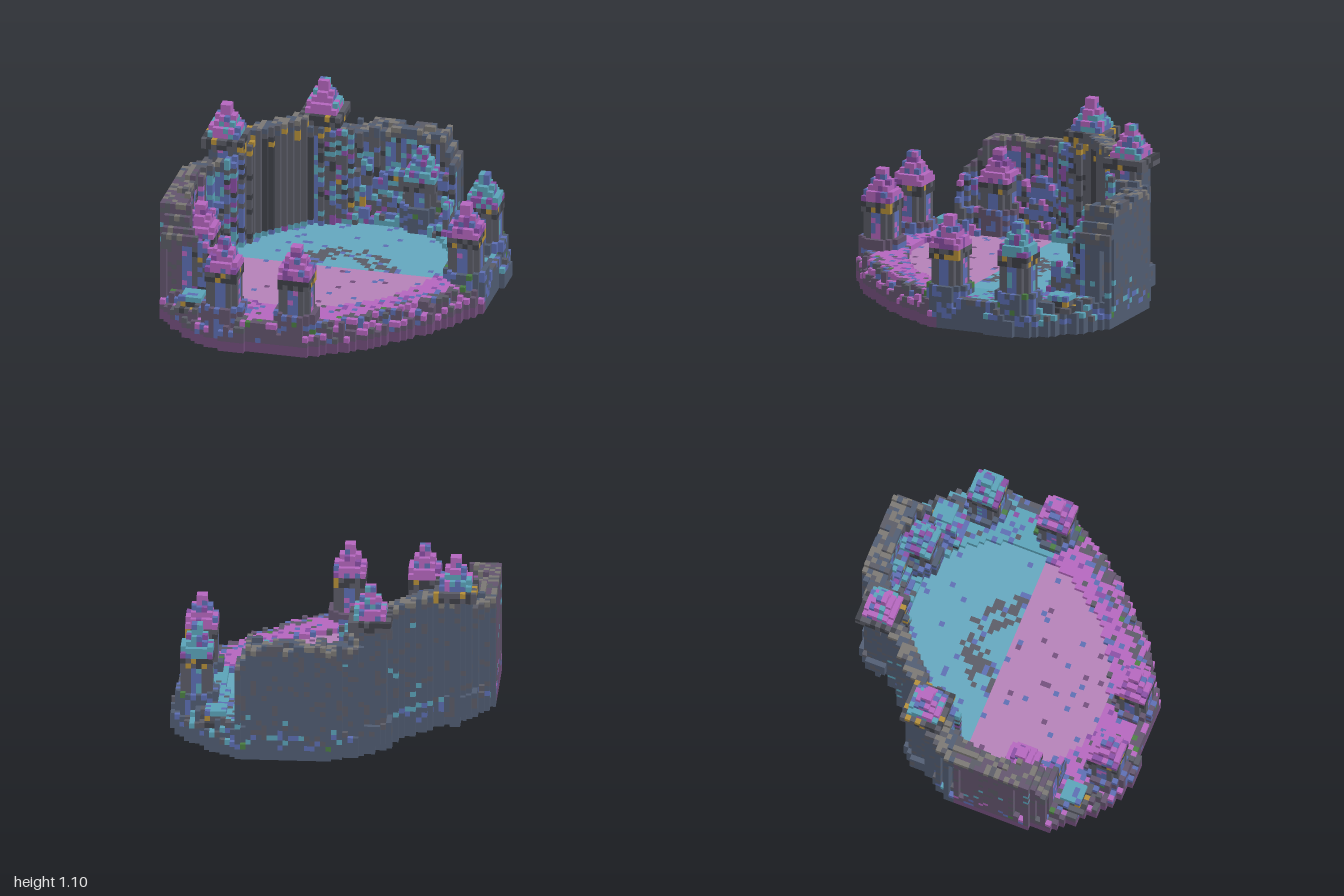
import * as THREE from 'three';

const N = 60, H = 36, S = 2 / N;
const COLORS = {
  stone: 0x5c5d68, slate: 0x525e74, mauve: 0x655670, pale: 0x7d7a76, dark: 0x40424a,
  blue: 0x5e70b6, teal: 0x5ca6bc, magenta: 0xb868c2, violet: 0x8c50a8,
  plum: 0x74507e, floorTeal: 0x66aac2, floorPink: 0xb884bc, gold: 0xb8923a, green: 0x4c8044,
};

// Repeatable noise in 0..1 for a cell
function hash(a, b, c = 0) {
  let h = (a * 374761393 + b * 668265263 + c * 974634533) | 0;
  h = Math.imul(h ^ (h >>> 13), 1274126177);
  return ((h ^ (h >>> 16)) >>> 0) / 4294967296;
}
const pick = (list, t) => list[Math.floor(t * list.length)];

// Block grid: each cell holds its part and colour
const makeGrid = () => ({
  cells: new Map(),
  key: (i, j, k) => (i * H + j) * N + k,
  inside: (i, j, k) => i >= 0 && j >= 0 && k >= 0 && i < N && j < H && k < N,
  set(i, j, k, part, color) {
    if (this.inside(i, j, k)) this.cells.set(this.key(i, j, k), { p: [i, j, k], part, color });
  },
  has(i, j, k) { return this.inside(i, j, k) && this.cells.has(this.key(i, j, k)); },
  column(i, k, j0, j1, part, colorAt) {
    for (let j = j0; j < j1; j++) this.set(i, j, k, part, colorAt(j));
  },
});

// Diagonal axes: u runs along the oval, v across it (negative at the gate).
// e is 1 on the outer edge, f is 1 on the edge of the floor.
function oval(i, k) {
  const x = (i - 29.5) / 30, z = (k - 29.5) / 30;
  const u = (x - z) / Math.SQRT2, v = (x + z) / Math.SQRT2;
  const e = Math.pow(Math.pow(Math.abs(u) / 1.13, 2.4) + Math.pow(Math.abs(v) / (v < 0 ? 0.83 : 0.81), 2.4), 1 / 2.4);
  const f = Math.hypot(u / 0.76, v / (v < 0 ? 0.64 : 0.57));
  return { x, z, u, v, e, f };
}

// Two-tone floor with speckles and a worn grey crescent
function floorColor(i, k, x, z) {
  const n = hash(i, k, 1);
  if (z < -0.03) {
    const d = Math.hypot(x - 0.03, (z + 0.02) * 1.15);
    if (d > 0.16 && d < 0.36 && n < 0.5) return 'stone';
    return n > 0.94 ? 'blue' : 'floorTeal';
  }
  return n > 0.975 ? 'plum' : n > 0.94 ? 'blue' : 'floorPink';
}

function buildBaseAndWalls(grid) {
  for (let i = 0; i < N; i++) for (let k = 0; k < N; k++) {
    const { x, z, u, v, e, f } = oval(i, k);
    const n = hash(i, k, 2), edge = Math.max(x, z);
    if (e > 1.0 + (n - 0.5) * 0.03) continue;
    if (edge > 0.96 && Math.abs(Math.min(x, z) + 0.42) > 0.1) continue;
    const recess = -0.77 + (Math.abs(Math.floor(u / 0.067)) % 2) * 0.035;
    const passage = v < 0 && Math.abs(u) < 0.24;
    if (passage && v < recess) continue;

    const back = z < 0;
    const rock = back ? 'slate' : 'mauve', accent = back ? 'teal' : 'magenta';
    const accents = [accent, 'blue', accent, 'violet', 'blue', 'stone'];

    // Raised arena floor, running right up to the gate
    if (f < 1 || (passage && v > -0.65)) {
      grid.column(i, k, 0, 5, 'arenaFloor', j => (j < 2 ? (back ? 'slate' : 'plum') : floorColor(i, k, x, z)));
      continue;
    }

    // Kerb around the floor, dropping away at the outer edge
    let rim = 6;
    if (e > 0.975) rim = 3 + Math.floor(n * 2);
    else if (e > 0.93) rim = 4 + Math.floor(n * 2.4);
    grid.column(i, k, 0, rim, 'rim', j => {
      const c = hash(i, j, k);
      if (j < 2) return back ? 'slate' : 'plum';
      if (e < 0.86) return c < 0.6 ? accent : pick(accents, hash(k, i, j));
      if (j === rim - 1) return c > 0.98 ? 'green' : c > 0.8 ? 'blue' : c > 0.5 ? rock : c > 0.25 ? 'stone' : accent;
      return c > 0.9 ? 'blue' : rock;
    });

    // High wall around the back and left, tallest over the gate
    if (v >= 0 || x >= 0.57 || z >= 0.59) continue;
    const gateHouse = Math.abs(u) < 0.45;
    const thick = gateHouse ? v < (passage ? -0.65 : -0.6) : e > 0.83;
    if (thick) {
      let top = 22 + (hash(i >> 1, k >> 1, 4) > 0.55 ? 1 : 0);
      if (gateHouse) top = Math.abs(u) < 0.2 ? 27 : Math.abs(u) < 0.38 ? 25 : 23;
      else if (edge > 0.5) top = 20 - Math.floor((edge - 0.5) * 40);
      const inner = gateHouse ? v > -0.69 : e < 0.89;
      grid.column(i, k, rim, top, gateHouse ? 'gateHouse' : 'wall', j => {
        const c = hash(i, j, k), stripe = hash(i, k, 6);
        if (gateHouse && inner && j >= 23 && j < 26 && c > 0.6) return 'gold';
        if (j >= top - 2) return c > 0.35 ? (j === top - 1 && c > 0.6 ? 'pale' : 'stone') : rock;
        if (inner && passage) return stripe > 0.5 ? 'dark' : 'stone';
        if (inner) {
          if (stripe > 0.62) return c > 0.3 ? 'blue' : accent;
          return c > 0.82 ? pick(accents, hash(j, i, k)) : c > 0.6 ? 'dark' : 'stone';
        }
        return c > 0.985 ? 'teal' : c > 0.85 ? 'stone' : rock;
      });
      // Narrow flutes under the crest on the outside
      if (!inner && e > 0.955 && hash(i, k, 5) > 0.72) {
        for (let j = rim; j < top - 3; j++) grid.cells.delete(grid.key(i, j, k));
      }
      continue;
    }

    // Terraces and balconies lining the inside of the wall
    const seg = Math.floor(Math.atan2(v, u) * 11);
    const bay = hash(seg, 7, 3);
    let h = f < 1.08 ? 6 + Math.floor(bay * 2) : e < 0.77 ? 8 + Math.floor(bay * 5) : 11 + Math.floor(bay * 8);
    if (gateHouse) h = v < -0.56 ? 23 : 6;
    h += Math.floor(n * 2);
    grid.column(i, k, rim, h, 'terrace', j => {
      const c = hash(i, j, k);
      if (j === h - 1) return pick(accents, hash(i, k, 8));
      if (c > 0.97) return 'gold';
      return c > 0.65 ? 'stone' : c > 0.55 ? 'dark' : bay > 0.5 ? 'blue' : pick(accents, hash(j, seg, 9));
    });
  }
}

// Turret: wide foot, chamfered shaft, square collar and stepped spire, centred on a grid line
function buildTower(grid, name, x, z, { foot, collar, top, r, lip = 0, roof, trim, rugged }) {
  const ci = Math.round(x * 30 + 29) + 0.5, ck = Math.round(z * 30 + 29) + 0.5;
  for (let j = 2; j < top; j++) {
    const t = (j - collar) / (top - collar);
    const onCollar = j >= collar - 2 && j < collar;
    const rad = j < foot ? r + 1 : onCollar ? r + lip : j < collar ? r : r * Math.pow(1 - t, 1.4) + 0.7;
    for (let a = -4.5; a <= 4.5; a++) for (let b = -4.5; b <= 4.5; b++) {
      const p = Math.abs(a), q = Math.abs(b);
      if (Math.max(p, q, (p + q) * (onCollar ? 0.5 : 0.62)) > rad) continue;
      const c = hash(ci + a, j, ck + b);
      let color;
      if (j >= collar) color = c > 0.85 ? 'blue' : c > 0.6 ? trim : roof;
      else if (onCollar) color = c > 0.88 ? 'gold' : c > 0.45 ? 'stone' : 'dark';
      else if (rugged && a + b < 2) color = c > 0.8 ? 'stone' : 'slate';
      else if (j < foot) color = c > 0.96 ? 'green' : c > 0.7 ? 'blue' : z < 0 ? 'slate' : 'mauve';
      else color = p + q >= r + 1 ? 'stone' : c > 0.75 ? roof : 'blue';
      grid.set(ci + a, j, ck + b, name, color);
    }
  }
}

// Only faces next to empty cells are drawn; one mesh per part and colour
function meshParts(grid, group) {
  const parts = new Map();
  for (const { p, part, color } of grid.cells.values()) {
    if (!parts.has(part)) parts.set(part, new Map());
    const byColor = parts.get(part);
    if (!byColor.has(color)) byColor.set(color, { pos: [], nor: [] });
    const buf = byColor.get(color);
    for (let d = 0; d < 3; d++) for (const s of [1, -1]) {
      const next = [...p];
      next[d] += s;
      if (grid.has(...next)) continue;
      const ring = [[0, 0], [1, 0], [1, 1], [0, 1]];
      if (s < 0) ring.reverse();
      for (const m of [0, 1, 2, 0, 2, 3]) {
        const c = [...p], nrm = [0, 0, 0];
        c[d] += s > 0 ? 1 : 0;
        c[(d + 1) % 3] += ring[m][0];
        c[(d + 2) % 3] += ring[m][1];
        nrm[d] = s;
        buf.pos.push(c[0] * S - 1, c[1] * S, c[2] * S - 1);
        buf.nor.push(...nrm);
      }
    }
  }
  for (const [part, byColor] of parts) {
    const sub = new THREE.Group();
    sub.name = part;
    for (const [color, { pos, nor }] of byColor) {
      if (!pos.length) continue;
      const geo = new THREE.BufferGeometry();
      geo.setAttribute('position', new THREE.Float32BufferAttribute(pos, 3));
      geo.setAttribute('normal', new THREE.Float32BufferAttribute(nor, 3));
      const mesh = new THREE.Mesh(geo, new THREE.MeshStandardMaterial({ color: COLORS[color] }));
      mesh.name = `${part} ${color}`;
      sub.add(mesh);
    }
    group.add(sub);
  }
}

export function createModel() {
  const group = new THREE.Group();
  group.name = 'arena';
  const grid = makeGrid();
  buildBaseAndWalls(grid);

  // Towers come in pairs mirrored across the diagonal
  const low = { foot: 8, collar: 15, top: 21, r: 2.5 };
  const pairs = [
    ['gateTower', -0.77, -0.28, { foot: 6, collar: 27, top: 33, r: 2.5, lip: 1, rugged: true }, 'magenta', 'magenta', 'teal'],
    ['rimTower', 0.83, -0.03, low, 'magenta', 'magenta', 'violet'],
    ['sideTower', 0.83, -0.5, low, 'teal', 'magenta', 'violet'],
    ['wallShrine', 0.38, -0.78, { foot: 10, collar: 15, top: 21, r: 2.5 }, 'teal', 'magenta', 'violet'],
    ['cornerPost', 0.71, -0.74, { foot: 5, collar: 6, top: 7, r: 1.5 }, 'teal', 'teal', 'teal'],
  ];
  for (const [name, x, z, size, roofA, roofB, trim] of pairs) {
    buildTower(grid, `${name}Right`, x, z, { ...size, roof: roofA, trim });
    buildTower(grid, `${name}Left`, z, x, { ...size, roof: roofB, trim });
  }

  meshParts(grid, group);
  return group;
}
